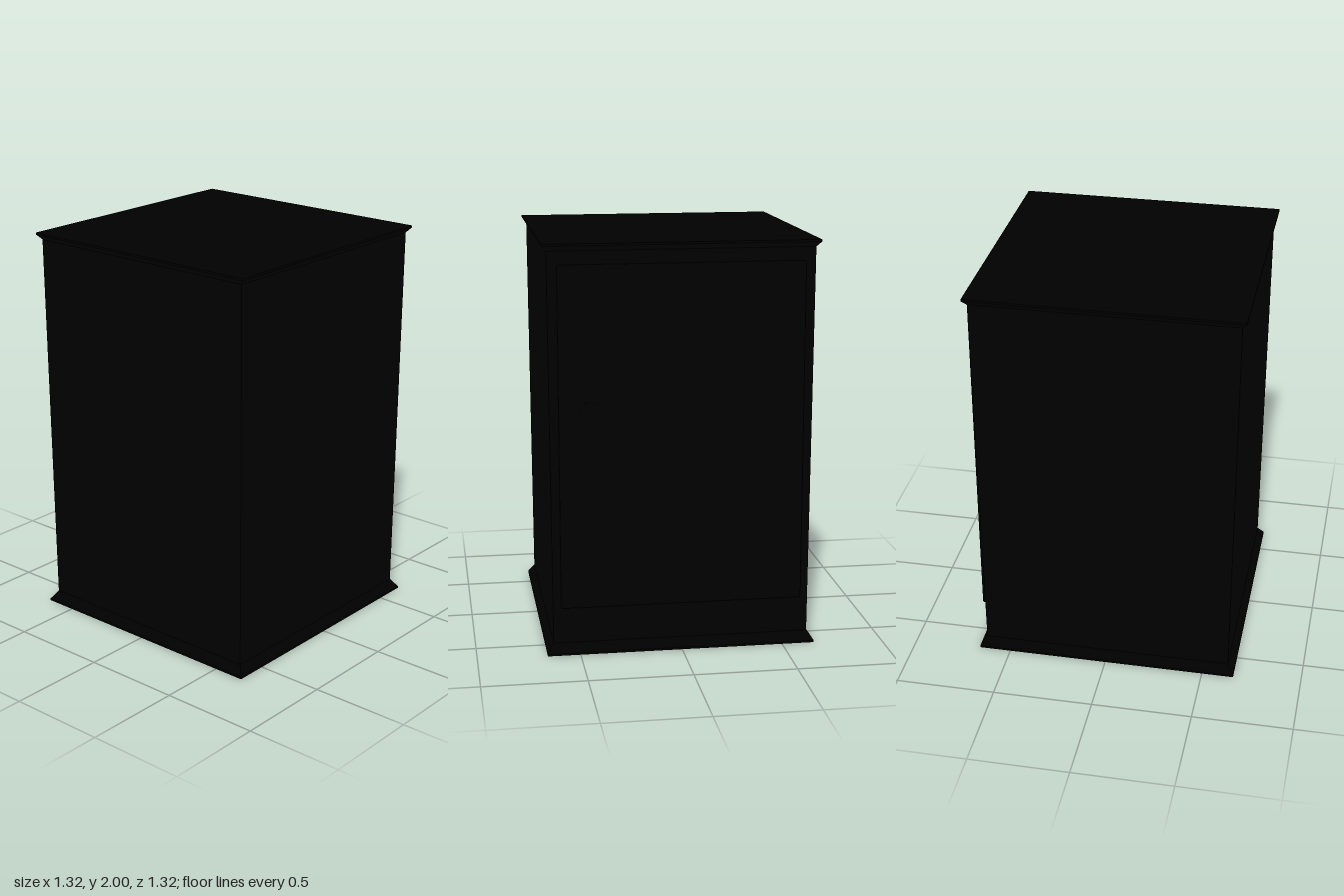
import * as THREE from 'three';
import { RoundedBoxGeometry } from 'three/addons/geometries/RoundedBoxGeometry.js';

// Square column lofted through [halfWidth, y] rings, with closed ends
function squareLoft(profile) {
  const corners = [[-1, 1], [1, 1], [1, -1], [-1, -1]];
  const pos = [];
  const quad = (a, b, c, d) => pos.push(...a, ...b, ...c, ...a, ...c, ...d);
  const at = ([h, y], k) => [corners[k % 4][0] * h, y, corners[k % 4][1] * h];
  for (let i = 0; i < profile.length - 1; i++) {
    for (let k = 0; k < 4; k++) {
      quad(at(profile[i], k), at(profile[i], k + 1), at(profile[i + 1], k + 1), at(profile[i + 1], k));
    }
  }
  const low = profile[0], top = profile[profile.length - 1];
  quad(at(top, 0), at(top, 1), at(top, 2), at(top, 3));
  quad(at(low, 3), at(low, 2), at(low, 1), at(low, 0));
  const geo = new THREE.BufferGeometry();
  geo.setAttribute('position', new THREE.Float32BufferAttribute(pos, 3));
  geo.computeVertexNormals();
  return geo;
}

export function createModel() {
  const model = new THREE.Group();
  const black = new THREE.MeshStandardMaterial({ color: 0x000000 });
  const add = (name, geo, x = 0, y = 0, z = 0) => {
    const mesh = new THREE.Mesh(geo, black);
    mesh.name = name;
    mesh.position.set(x, y, z);
    model.add(mesh);
    return mesh;
  };

  // Slightly tapered cabinet with a flared plinth and cornice
  add('cabinet', squareLoft([
    [0.66, 0], [0.66, 0.01], [0.628, 0.055], [0.638, 1.965], [0.66, 1.99], [0.66, 2],
  ]));

  // Raised door on the back
  add('backDoor', new RoundedBoxGeometry(1.18, 1.665, 0.05, 3, 0.01), 0, 1.068, -0.63);

  // Flat round latch on the door
  const latch = add('doorLatch', new THREE.CylinderGeometry(0.052, 0.052, 0.02, 24), 0.44, 1.2, -0.649);
  latch.rotation.x = Math.PI / 2;

  return model;
}
